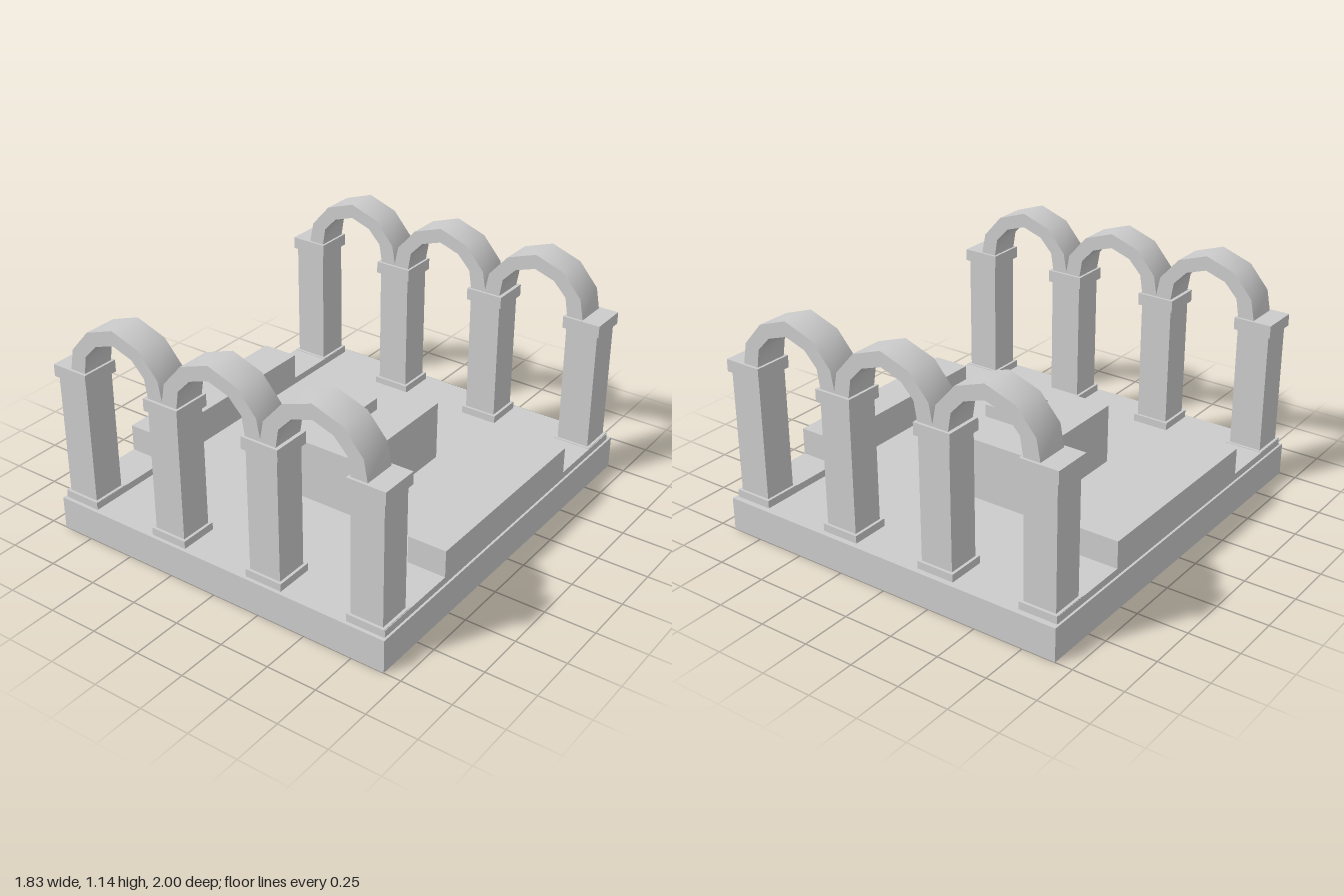
import * as THREE from 'three';
import { toCreasedNormals } from 'three/addons/utils/BufferGeometryUtils.js';

const material = new THREE.MeshStandardMaterial({ color: 0xcccccc });

// Box given by its extents on each axis
function box(name, [x0, x1], [y0, y1], [z0, z1]) {
  const mesh = new THREE.Mesh(new THREE.BoxGeometry(x1 - x0, y1 - y0, z1 - z0), material);
  mesh.name = name;
  mesh.position.set((x0 + x1) / 2, (y0 + y1) / 2, (z0 + z1) / 2);
  return mesh;
}

const around = (c, half) => [c - half, c + half];

// Square pillar with plinth and capital
function pillar(x, z) {
  const group = new THREE.Group();
  group.name = 'pillar';
  group.add(
    box('plinth', around(x, 0.096), [0.165, 0.203], around(z, 0.096)),
    box('shaft', around(x, 0.082), [0.203, 0.81], around(z, 0.082)),
    box('capital', around(x, 0.096), [0.81, 0.87], around(z, 0.096)),
  );
  return group;
}

// Six-sided round arch, its profile mirrored about the crown
function archGeometry(depth) {
  const outer = [[0.27, 0], [0.25, 0.103], [0.152, 0.215], [0, 0.268]];
  const inner = [[0.187, 0], [0.172, 0.09], [0.105, 0.16], [0, 0.195]];
  const full = (half) => [...half, ...half.slice(0, -1).reverse().map(([x, y]) => [-x, y])];
  const points = [...full(outer), ...full(inner).reverse()].map(([x, y]) => new THREE.Vector2(x, y));
  const geometry = new THREE.ExtrudeGeometry(new THREE.Shape(points), { depth, bevelEnabled: false });
  geometry.translate(0, 0, -depth / 2);
  return toCreasedNormals(geometry, 0.95);
}

export function createModel() {
  const model = new THREE.Group();
  model.name = 'courtyard';

  // Floor slab
  model.add(box('floor', [-0.915, 0.915], [0, 0.165], [-1, 1]));

  // Stepped altar in the middle
  model.add(box('altar', [-0.305, 0.305], [0.165, 0.468], [-0.332, 0.332]));
  model.add(box('altarTop', [-0.103, 0.103], [0.468, 0.53], [-0.108, 0.108]));

  // Low curb and bench along each side
  for (const side of [-1, 1]) {
    model.add(box('curb', around(side * 0.807, 0.097), [0.165, 0.2], [-0.97, 0.98]));
    model.add(box('bench', around(side * 0.807, 0.097), [0.2, 0.335], [-0.52, 0.525]));
  }

  // Front and back arcades
  const arch = archGeometry(0.165);
  for (const [name, z] of [['frontArcade', 0.886], ['backArcade', -0.876]]) {
    const arcade = new THREE.Group();
    arcade.name = name;
    for (const x of [-0.807, -0.271, 0.27, 0.805]) arcade.add(pillar(x, z));
    for (const x of [-0.536, 0, 0.535]) {
      const mesh = new THREE.Mesh(arch, material);
      mesh.name = 'arch';
      mesh.position.set(x, 0.87, z);
      arcade.add(mesh);
    }
    model.add(arcade);
  }
  return model;
}
